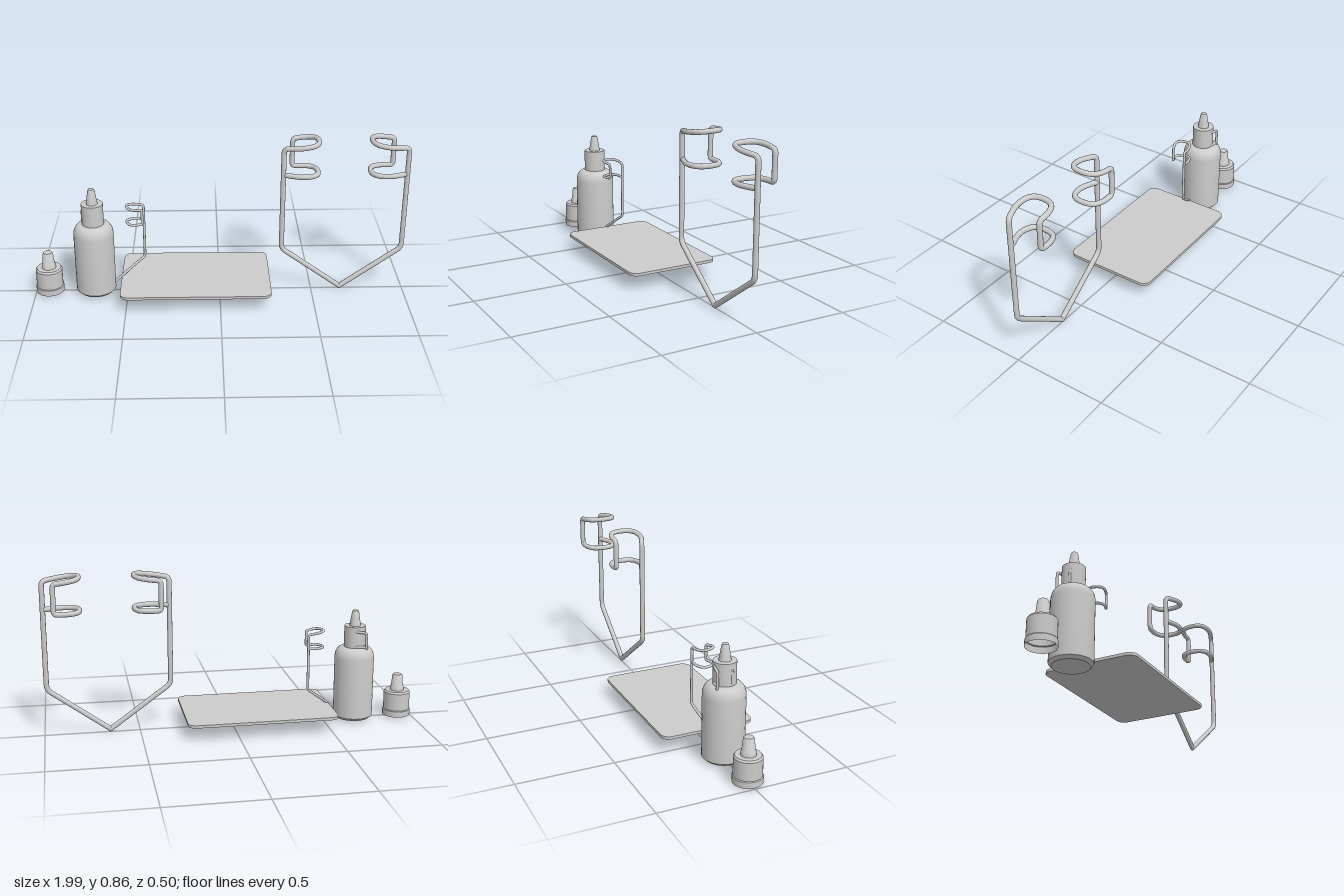
import * as THREE from 'three';
import { toCreasedNormals } from 'three/addons/utils/BufferGeometryUtils.js';

const grey = new THREE.MeshStandardMaterial({ color: 0xcccccc });
const greyOpen = new THREE.MeshStandardMaterial({ color: 0xcccccc, side: THREE.DoubleSide });

function add(parent, name, geometry, material = grey) {
  const mesh = new THREE.Mesh(geometry, material);
  mesh.name = name;
  parent.add(mesh);
  return mesh;
}

// Turned part from [radius, y] pairs, with sharp edges kept
function turned(profile) {
  const pts = profile.map(([r, y]) => new THREE.Vector2(r, y));
  return toCreasedNormals(new THREE.LatheGeometry(pts, 32), 0.6);
}

// Polyline whose corners are rounded by the given radii
function roundedPath(points, radii) {
  const path = new THREE.CurvePath();
  let from = points[0];
  for (let i = 1; i < points.length - 1; i++) {
    const [a, b, c] = [points[i - 1], points[i], points[i + 1]];
    const cut = (p) => b.clone().lerp(p, Math.min(radii[i] / b.distanceTo(p), 0.499));
    const start = cut(a), end = cut(c);
    path.add(new THREE.LineCurve3(from, start));
    path.add(new THREE.QuadraticBezierCurve3(start, b, end));
    from = end;
  }
  path.add(new THREE.LineCurve3(from, points[points.length - 1]));
  return path;
}

// Hook seen from above: [distance in from the upright, distance sideways]
const HOOK = [[0.1, 0.037], [0.185, 0.01], [0.185, -0.1], [0.13, -0.132], [0.055, -0.13]];

// One half of a hanger: sloping foot, upright, and a double hook
function hangerArm(parent, name, tip, angle, scale, side) {
  const out = new THREE.Vector3(Math.cos(angle), 0, Math.sin(angle));
  const across = new THREE.Vector3(-out.z, 0, out.x).multiplyScalar(side);
  const at = (u, y, w) => tip.clone()
    .addScaledVector(out, (0.324 - u) * scale)
    .addScaledVector(across, w * scale)
    .add(new THREE.Vector3(0, y * scale, 0));
  const pts = [tip.clone(), at(0, 0.235, 0), at(0, 0.81, 0)];
  const radii = [0, 0.03, 0.025];
  HOOK.forEach(([u, w], i) => {
    pts.push(at(u, 0.81 + 0.13 * u, w));
    radii.push(i === HOOK.length - 1 ? 0.02 : 1);
  });
  [...HOOK].reverse().forEach(([u, w], i) => {
    pts.push(at(u, 0.663, w));
    radii.push(i === 0 ? 0.02 : 1);
  });
  pts.push(at(0.01, 0.663, 0));
  radii.push(0);

  const path = roundedPath(pts, radii.map((r) => r * scale));
  const r = 0.0135 * scale;
  add(parent, name, new THREE.TubeGeometry(path, 260, r, 12));
  // Rounded wire ends
  for (const p of [pts[0], pts[pts.length - 1]]) {
    add(parent, name + 'End', new THREE.SphereGeometry(r, 12, 8)).position.copy(p);
  }
}

export function createModel() {
  const model = new THREE.Group();
  model.name = 'bottleAndHangerSet';

  // Flat plate with rounded corners
  const [w, d, c] = [0.4, 0.25, 0.045];
  const shape = new THREE.Shape();
  shape.absarc(w - c, d - c, c, 0, Math.PI / 2);
  shape.absarc(-w + c, d - c, c, Math.PI / 2, Math.PI);
  shape.absarc(-w + c, -d + c, c, Math.PI, Math.PI * 1.5);
  shape.absarc(w - c, -d + c, c, Math.PI * 1.5, Math.PI * 2);
  const plate = new THREE.ExtrudeGeometry(shape, { depth: 0.015, bevelEnabled: false, curveSegments: 8 });
  plate.rotateX(-Math.PI / 2);
  add(model, 'plate', toCreasedNormals(plate, 0.6)).position.set(-0.13, 0.083, 0);

  // Bottle with shoulder, collar and nozzle
  const bottle = new THREE.Group();
  bottle.name = 'bottle';
  bottle.position.set(-0.673, 0, 0);
  model.add(bottle);
  const body = [[0, 0.012], [0.092, 0.012], [0.107, 0.027], [0.107, 0.35]];
  for (let i = 1; i <= 6; i++) {
    const a = (i / 6) * Math.PI / 2;
    body.push([0.064 + 0.043 * Math.cos(a), 0.35 + 0.062 * Math.sin(a)]);
  }
  body.push([0, 0.412]);
  add(bottle, 'bottleBody', turned(body));
  add(bottle, 'collar', turned([[0, 0.4], [0.058, 0.4], [0.058, 0.527], [0, 0.527]]));
  add(bottle, 'nozzle', turned([[0.031, 0.525], [0.019, 0.6], [0.015, 0.61], [0, 0.61]]));

  // Loose cap, open underneath
  const cap = turned([
    [0.075, 0.01], [0.075, 0.042], [0.071, 0.046], [0.071, 0.14], [0.064, 0.15],
    [0.038, 0.15], [0.036, 0.17], [0.033, 0.174], [0.027, 0.234], [0.023, 0.24], [0, 0.24],
  ]);
  add(model, 'cap', cap, greyOpen).position.x = -0.925;

  // Large hanger, hooks turned to the back
  const large = new THREE.Group();
  large.name = 'largeHanger';
  model.add(large);
  const largeTip = new THREE.Vector3(0.656, 0.018, 0.004);
  hangerArm(large, 'leftArm', largeTip, 0, 1, 1);
  hangerArm(large, 'rightArm', largeTip, Math.PI, 1, -1);

  // Small hanger, folded back around the bottle with hooks turned to the front
  const small = new THREE.Group();
  small.name = 'smallHanger';
  model.add(small);
  const smallTip = new THREE.Vector3(-0.567, 0.067, 0.014);
  hangerArm(small, 'leftArm', smallTip, Math.atan2(-0.058, 0.165), 0.53, -1);
  hangerArm(small, 'rightArm', smallTip, Math.atan2(-0.08, -0.16), 0.53, 1);

  return model;
}
